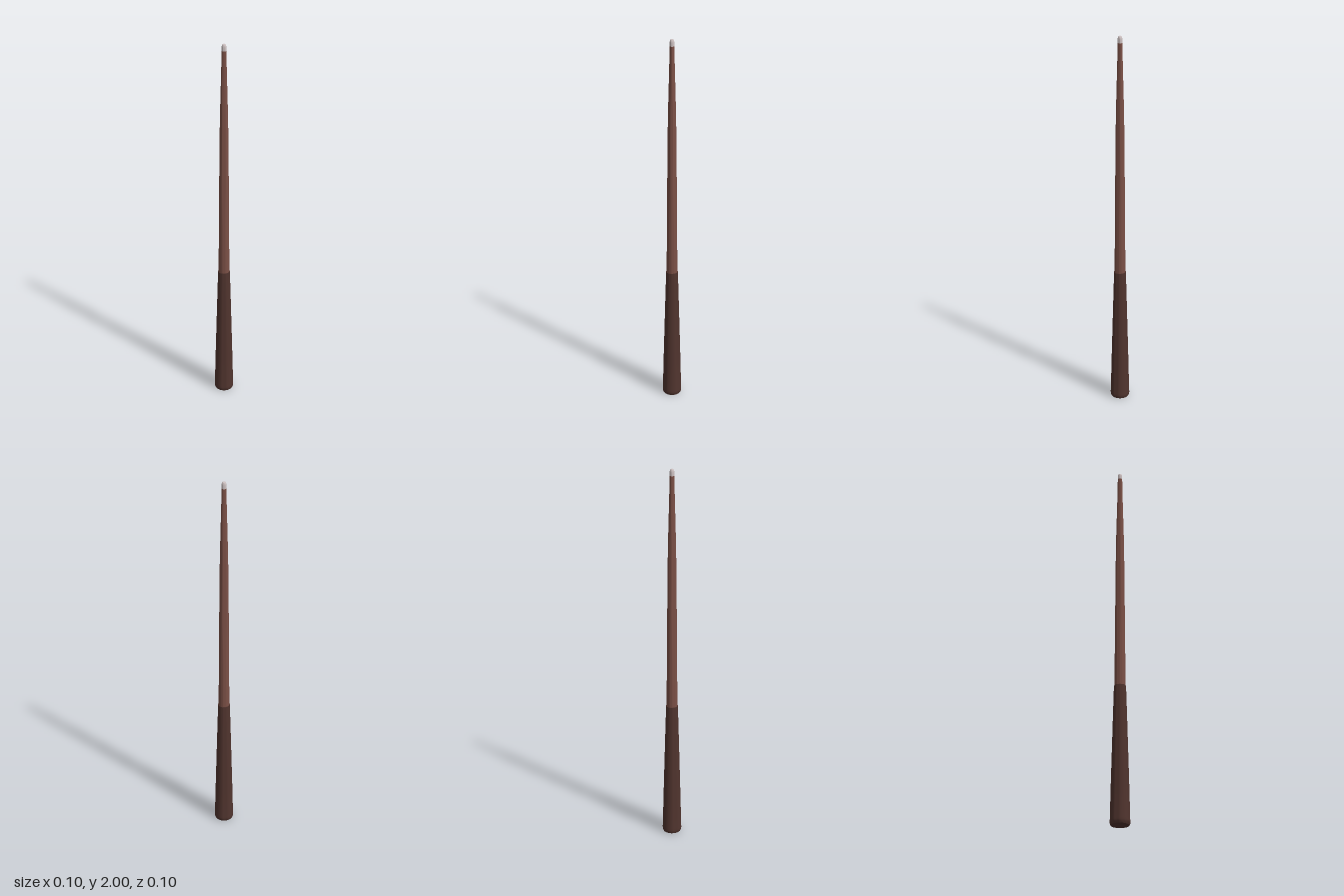
import * as THREE from 'three';
import { toCreasedNormals } from 'three/addons/utils/BufferGeometryUtils.js';

const material = (name, color) => {
  const m = new THREE.MeshStandardMaterial({ color });
  m.name = name;
  return m;
};

// Turned part from [radius, height] pairs, listed bottom to top
function turned(name, profile, mat) {
  const points = profile.map(([r, y]) => new THREE.Vector2(r, y));
  const geometry = toCreasedNormals(new THREE.LatheGeometry(points, 32), 0.6);
  const mesh = new THREE.Mesh(geometry, mat);
  mesh.name = name;
  return mesh;
}

export function createModel() {
  const group = new THREE.Group();
  group.name = 'taperedStick';
  const darkWood = material('dark wood', 0x50342e);
  const redWood = material('red brown wood', 0x7b5046);
  const paleTip = material('pale tip', 0xcbbfbf);

  // Thick handle with a bevelled butt and a small step at its top
  group.add(turned('handle', [
    [0, 0], [0.046, 0], [0.05, 0.008], [0.051, 0.02], [0.05, 0.03],
    [0.046, 0.2], [0.0405, 0.4], [0.035, 0.6], [0.031, 0.735], [0.028, 0.735],
  ], darkWood));

  // Long shaft, tapering faster near its end
  group.add(turned('shaft', [
    [0.0285, 0.73], [0.0265, 1.0], [0.0245, 1.25], [0.0225, 1.48],
    [0.02, 1.63], [0.0155, 1.8], [0.0132, 1.89], [0.0122, 1.966], [0.01, 1.966],
  ], redWood));

  // Softly rounded tip
  group.add(turned('tip', [
    [0.0118, 1.964], [0.0115, 1.985], [0.0105, 1.994], [0.0085, 1.998], [0.005, 2], [0, 2],
  ], paleTip));

  return group;
}
